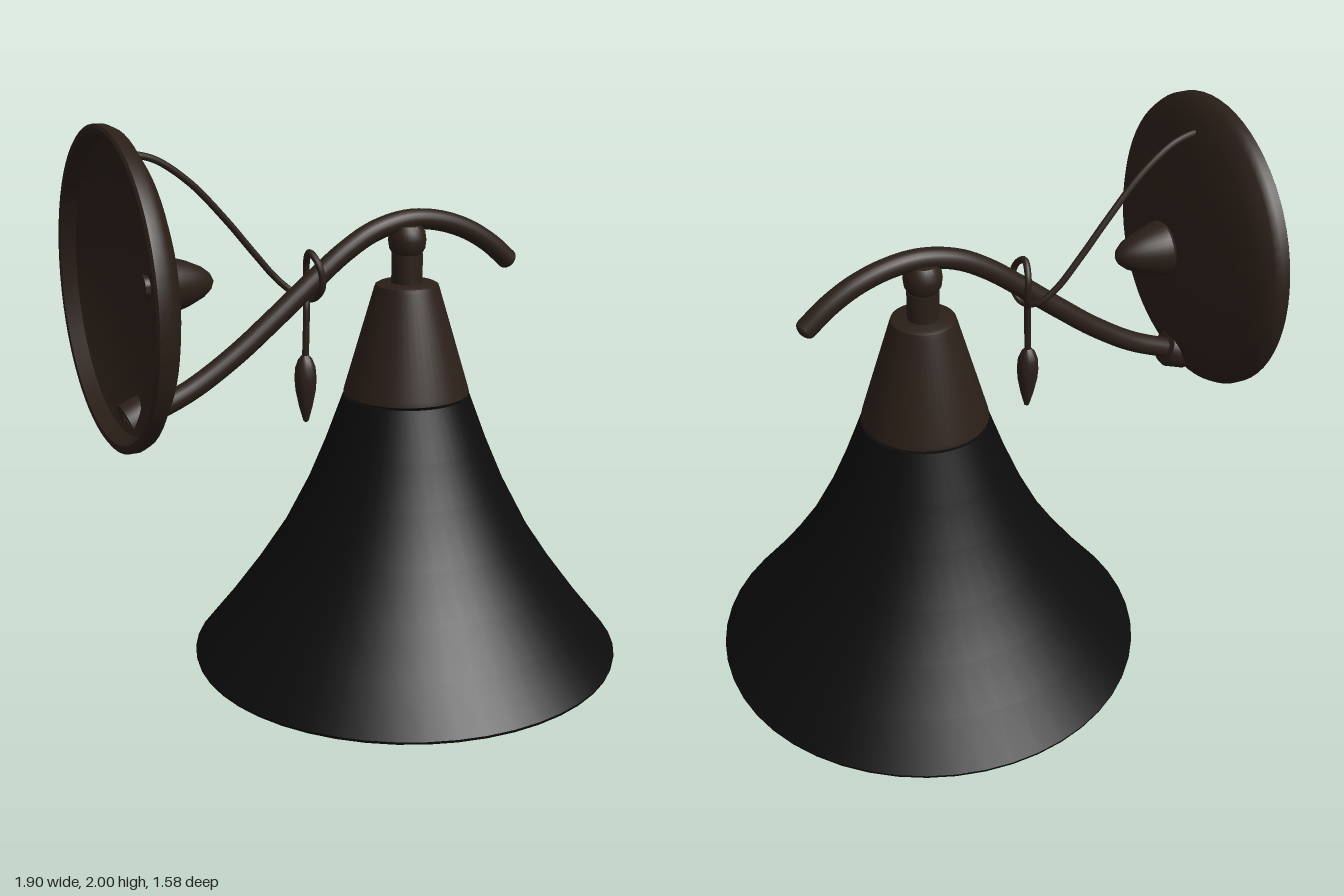
import * as THREE from 'three';
import { toCreasedNormals } from 'three/addons/utils/BufferGeometryUtils.js';

const bronze = new THREE.MeshStandardMaterial({ color: 0x2b1f18, side: THREE.DoubleSide });
const black = new THREE.MeshStandardMaterial({ color: 0x0c0c0c, side: THREE.DoubleSide });

const AXIS_X = 0.16; // lamp axis
const PLATE_Y = 1.47; // centre of the wall plate

export function createModel() {
  const group = new THREE.Group();

  function add(name, geometry, material = bronze) {
    const mesh = new THREE.Mesh(geometry, material);
    mesh.name = name;
    group.add(mesh);
    return mesh;
  }

  // Turned part: profile of [radius, height], listed so the outside runs upward
  function turned(name, profile, material, segments = 48) {
    const points = profile.map(([r, h]) => new THREE.Vector2(r, h));
    return add(name, toCreasedNormals(new THREE.LatheGeometry(points, segments), 0.6), material);
  }

  function curve(points) {
    return new THREE.CatmullRomCurve3(points.map((p) => new THREE.Vector3(p[0], p[1], p[2] ?? 0)), false, 'centripetal');
  }

  // Hollow flared shade: inside from the top down, then outside back up
  const flare = [[0.79, 0.01], [0.67, 0.16], [0.56, 0.31], [0.455, 0.47], [0.36, 0.655], [0.295, 0.81], [0.23, 0.986]];
  const inside = flare.map(([r, y]) => [r - 0.012, y]).reverse();
  turned('shade', [...inside, [0.778, 0], [0.788, 0], ...flare, inside[0]], black).position.x = AXIS_X;

  // Cap over the shade, with neck and swivel joint
  turned('cap', [
    [0.05, 1.375], [0.11, 1.365], [0.215, 0.995], [0.228, 0.995],
    [0.225, 1.01], [0.118, 1.375], [0.113, 1.39], [0.1, 1.397], [0, 1.397],
  ]).position.x = AXIS_X;
  turned('neck', [[0, 1.36], [0.056, 1.36], [0.056, 1.5], [0, 1.5]], bronze, 32).position.x = AXIS_X;
  turned('swivelJoint', [
    [0, 1.495], [0.052, 1.5], [0.064, 1.52], [0.068, 1.55], [0.064, 1.58], [0.05, 1.6], [0, 1.61],
  ], bronze, 32).position.x = AXIS_X;

  // Domed wall plate, hollow at the back, its axis along x
  const plate = turned('wallPlate', [
    [0, -0.8], [0.25, -0.82], [0.4, -0.86], [0.48, -0.9], [0.505, -0.948],
    [0.522, -0.95], [0.532, -0.943], [0.532, -0.915], [0.52, -0.89], [0.46, -0.853],
    [0.38, -0.823], [0.29, -0.799], [0.19, -0.783], [0.1, -0.774], [0, -0.77],
  ], bronze, 64);

  // Pointed knob at the centre of the plate
  const knob = turned('plateKnob', [
    [0, -0.82], [0.04, -0.82], [0.04, -0.775], [0.09, -0.77], [0.101, -0.755], [0.097, -0.735],
    [0.077, -0.67], [0.052, -0.615], [0.03, -0.588], [0, -0.571],
  ], bronze, 32);
  for (const part of [plate, knob]) {
    part.rotation.z = -Math.PI / 2;
    part.position.y = PLATE_Y;
  }

  // Swan-neck arm, with a rounded tip and an open end behind the plate
  const armCurve = curve([
    [-0.89, 1.01], [-0.8, 1.045], [-0.66, 1.105], [-0.5, 1.205], [-0.35, 1.32], [-0.2, 1.44],
    [-0.08, 1.53], [0.03, 1.59], [0.16, 1.62], [0.28, 1.61], [0.4, 1.57], [0.5, 1.51], [0.575, 1.446],
  ]);
  add('arm', new THREE.TubeGeometry(armCurve, 72, 0.037, 20));
  const tip = add('armTip', new THREE.SphereGeometry(0.037, 20, 12));
  tip.position.copy(armCurve.getPoint(1));
  tip.scale.x = 0.7;
  tip.rotation.z = -0.72;

  // Collar where the arm meets the plate
  const collar = turned('armCollar', [
    [0.038, -0.06], [0.07, -0.06], [0.072, 0.01], [0.06, 0.03], [0.037, 0.035],
  ], bronze, 32);
  collar.position.set(-0.835, 1.06, 0);
  collar.position.y = 1.035;
  collar.rotation.z = -1.2;

  // Cord from the plate, wrapped once round the arm and hanging down
  const cordCurve = curve([
    [-0.87, 1.9, -0.01], [-0.83, 1.9, -0.015], [-0.75, 1.878, -0.025], [-0.63, 1.795, -0.04],
    [-0.5, 1.66, -0.057], [-0.4, 1.54, -0.065], [-0.31, 1.435, -0.065], [-0.25, 1.385, -0.05],
    [-0.21, 1.372, 0], [-0.195, 1.42, 0.05], [-0.205, 1.495, 0.048], [-0.218, 1.535, 0],
    [-0.208, 1.49, -0.052], [-0.205, 1.41, -0.055], [-0.228, 1.362, -0.01], [-0.235, 1.27, 0], [-0.24, 1.15, 0],
  ]);
  add('cord', new THREE.TubeGeometry(cordCurve, 140, 0.012, 10));

  // Teardrop pull on the end of the cord
  turned('cordPull', [
    [0, 0.93], [0.009, 0.935], [0.024, 0.99], [0.036, 1.05], [0.039, 1.09],
    [0.036, 1.13], [0.025, 1.16], [0.012, 1.175], [0, 1.178],
  ], bronze, 24).position.x = -0.24;

  return group;
}
